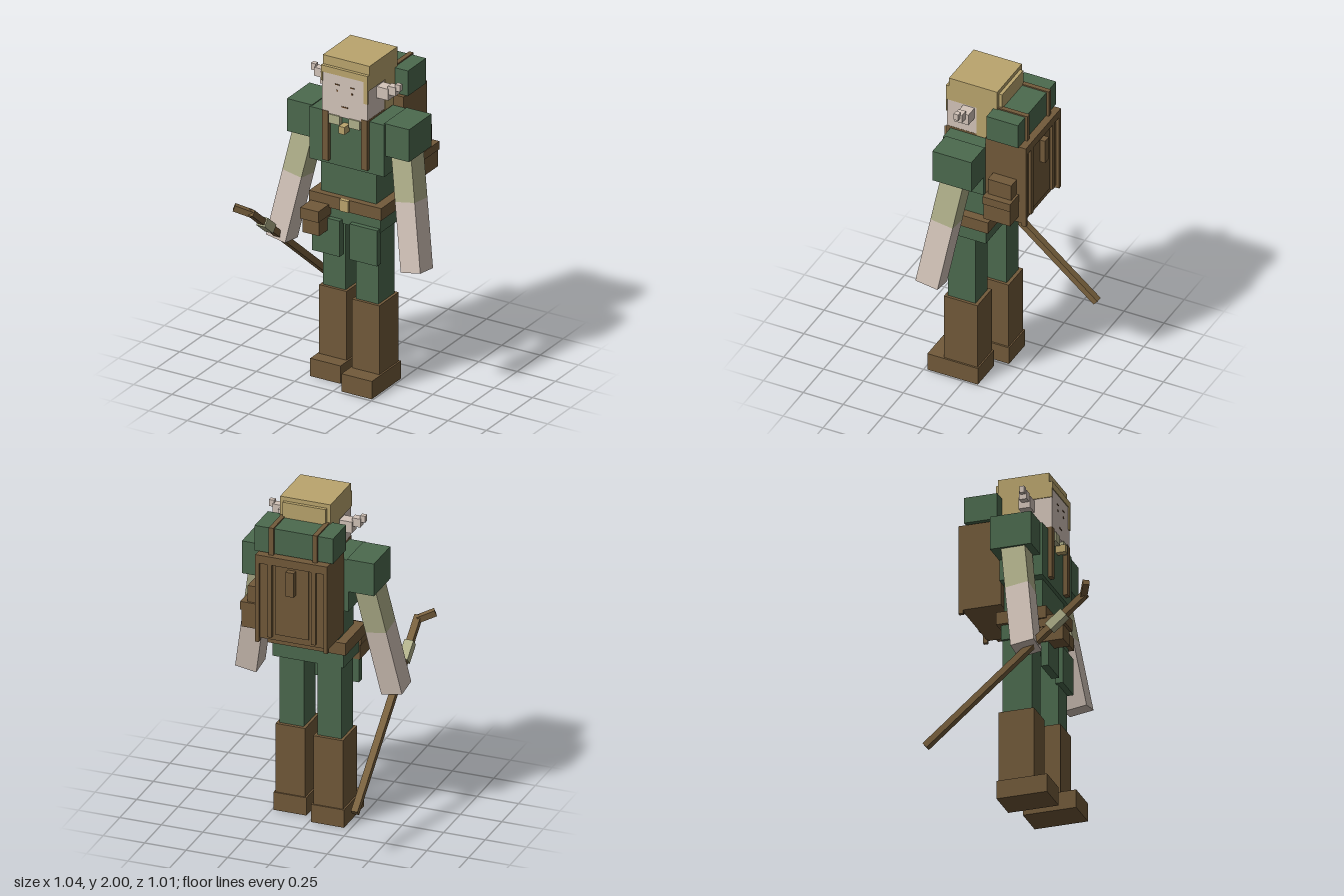
import * as THREE from 'three';

const mat = (name, color) => {
  const m = new THREE.MeshStandardMaterial({ color });
  m.name = name;
  return m;
};

export function createModel() {
  const skin = mat('skin', 0xd3c4b9);
  const hair = mat('hair', 0xbaa56d);
  const green = mat('greenCloth', 0x4c6a4e);
  const olive = mat('oliveCloth', 0xb1b18b);
  const brown = mat('leather', 0x725a3a);
  const wood = mat('staffWood', 0x79613e);
  const ink = mat('faceLines', 0x6b4a2c);

  const root = new THREE.Group();
  root.name = 'traveller';
  const body = new THREE.Group();
  body.name = 'body';
  body.position.x = 0.015;
  root.add(body);

  // Box from its minimum and maximum on each axis
  const box = (name, m, x0, x1, y0, y1, z0, z1, parent = body) => {
    const mesh = new THREE.Mesh(new THREE.BoxGeometry(x1 - x0, y1 - y0, z1 - z0), m);
    mesh.position.set((x0 + x1) / 2, (y0 + y1) / 2, (z0 + z1) / 2);
    mesh.name = name;
    parent.add(mesh);
    return mesh;
  };
  // Box centred on the middle plane
  const mid = (name, m, half, ...r) => box(name, m, -half, half, ...r);
  // Two mirrored boxes
  const pair = (name, m, x0, x1, ...r) => {
    box('left' + name, m, x0, x1, ...r);
    box('right' + name, m, -x1, -x0, ...r);
  };
  // Square bar between two points
  const bar = (name, m, a, b, w, t) => {
    const mesh = new THREE.Mesh(new THREE.BoxGeometry(w, t, a.distanceTo(b)), m);
    mesh.position.copy(a).add(b).multiplyScalar(0.5);
    mesh.lookAt(b);
    mesh.name = name;
    root.add(mesh);
  };

  // Head and hair
  mid('head', skin, 0.147, 1.65, 1.94, -0.15, 0.147);
  mid('hairCap', hair, 0.152, 1.94, 2.0, -0.17, 0.132);
  mid('fringe', hair, 0.152, 1.905, 1.945, 0.12, 0.152);
  pair('HairSide', hair, 0.142, 0.152, 1.85, 1.945, -0.17, 0.15);
  mid('backHair', hair, 0.152, 1.66, 1.945, -0.17, -0.04);
  mid('hairTie', hair, 0.13, 1.75, 1.975, -0.19, -0.165);
  box('frontLock', hair, 0.125, 0.152, 1.77, 1.91, 0.145, 0.152);

  // Face
  pair('Brow', ink, 0.035, 0.062, 1.842, 1.848, 0.145, 0.15);
  pair('Eye', ink, 0.043, 0.053, 1.803, 1.813, 0.145, 0.15);
  mid('mouth', ink, 0.02, 1.712, 1.719, 0.145, 0.15);

  // Stepped pointed ears
  pair('EarBase', skin, 0.14, 0.222, 1.77, 1.84, -0.025, 0.045);
  pair('EarMiddle', skin, 0.215, 0.265, 1.805, 1.857, -0.005, 0.04);
  pair('EarTip', skin, 0.26, 0.29, 1.835, 1.875, 0.005, 0.033);

  // Torso
  mid('chest', green, 0.243, 1.335, 1.655, -0.13, 0.125);
  mid('waist', green, 0.18, 1.0, 1.34, -0.125, 0.105);
  mid('hips', green, 0.215, 0.98, 1.08, -0.13, 0.12);
  pair('Shoulder', green, 0.235, 0.398, 1.46, 1.66, -0.132, 0.112);
  pair('Collar', olive, 0.03, 0.1, 1.6, 1.655, 0.12, 0.155);
  mid('pendant', hair, 0.019, 1.565, 1.61, 0.12, 0.183);

  // Belt, buckle and pouch
  mid('belt', brown, 0.235, 1.07, 1.145, -0.153, 0.143);
  mid('buckle', hair, 0.028, 1.075, 1.145, 0.14, 0.16);
  box('pouch', brown, -0.22, -0.112, 0.93, 1.03, 0.1, 0.24);
  box('pouchLid', brown, -0.225, -0.107, 1.02, 1.088, 0.1, 0.257);

  // Arms, swung out and slightly forward
  for (const s of [1, -1]) {
    const arm = new THREE.Group();
    arm.name = s > 0 ? 'leftArm' : 'rightArm';
    arm.position.set(s * 0.32, 1.46, 0);
    arm.rotation.set(-0.146, 0, s * 0.177);
    box('sleeve', olive, -0.064, 0.064, -0.275, 0.06, -0.07, 0.07, arm);
    box('forearm', skin, -0.064, 0.064, -0.682, -0.275, -0.07, 0.07, arm);
    body.add(arm);
  }

  // Legs in mid-step, with the right one further back
  for (const [side, s, dz] of [['left', 1, 0], ['right', -1, -0.067]]) {
    const leg = new THREE.Group();
    leg.name = side + 'Leg';
    leg.position.set(s * 0.127, 0, dz);
    box('trouser', green, -0.073, 0.073, 0.5, 1.0, -0.058, 0.115, leg);
    box('boot', brown, -0.089, 0.089, 0.1, 0.535, -0.078, 0.132, leg);
    box('foot', brown, -0.099, 0.099, 0, 0.11, -0.086, 0.23 + dz * 0.25, leg);
    body.add(leg);
  }
  pair('ThighFlap', green, 0.032, 0.212, 0.785, 1.005, 0.105, 0.15);

  // Backpack
  mid('pack', brown, 0.217, 1.2, 1.72, -0.362, -0.13);
  pair('PackEdge', brown, 0.195, 0.217, 1.18, 1.7, -0.382, -0.355);
  pair('PackStrip', brown, 0.118, 0.146, 1.22, 1.72, -0.38, -0.355);
  mid('packFlap', brown, 0.1, 1.24, 1.67, -0.372, -0.355);
  mid('packRim', brown, 0.217, 1.67, 1.72, -0.382, -0.355);
  mid('packClip', brown, 0.024, 1.505, 1.655, -0.405, -0.365);
  box('sidePocket', brown, 0.2, 0.318, 1.235, 1.39, -0.335, -0.168);
  box('pocketTop', brown, 0.2, 0.285, 1.385, 1.49, -0.325, -0.178);
  box('pocketLid', brown, 0.2, 0.325, 1.34, 1.39, -0.338, -0.165);

  // Shoulder straps
  pair('Strap', brown, 0.107, 0.148, 1.36, 1.668, 0.12, 0.15);
  pair('StrapTop', brown, 0.107, 0.148, 1.645, 1.668, -0.14, 0.15);

  // Bedroll and its ties
  mid('bedroll', green, 0.236, 1.725, 1.88, -0.342, -0.145);
  pair('BedrollTie', brown, 0.118, 0.146, 1.715, 1.888, -0.356, -0.138);

  // Crooked staff in the right hand
  const at = (z) => new THREE.Vector3(-0.417, 0.285 + 0.84 * (z + 0.5), z);
  bar('staff', wood, at(-0.5), at(0.45), 0.04, 0.037);
  bar('staffGrip', olive, at(0.233), at(0.325), 0.055, 0.055);
  bar('staffCrook', wood, at(0.435), new THREE.Vector3(-0.506, 1.108, 0.482), 0.037, 0.037);

  return root;
}
